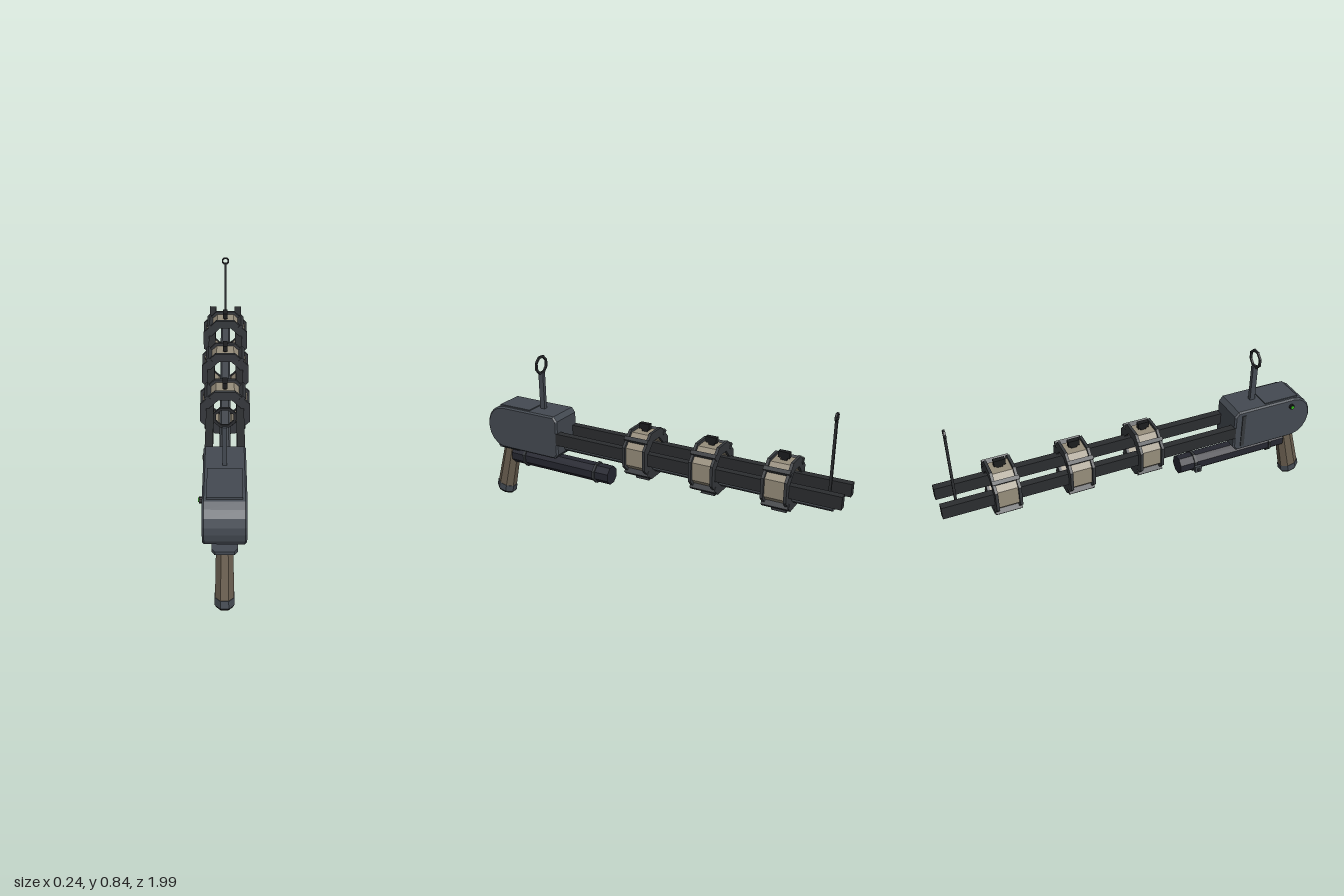
import * as THREE from 'three';

const mat = (color) => new THREE.MeshStandardMaterial({ color, flatShading: true });
const MAT = {
  steel: mat(0x444a52), rail: mat(0x2b2d30), lowRail: mat(0x464b51), dark: mat(0x36393d),
  coil: mat(0x978e7c), grip: mat(0x6a5f50), tube: mat(0x262731), black: mat(0x1b1c1e), green: mat(0x35c21a),
};
const FLAT = 1 / Math.cos(Math.PI / 8); // octagon apothem to radius

function add(parent, name, geo, material, x = 0, y = 0, z = 0) {
  const m = new THREE.Mesh(geo, material);
  m.name = name;
  m.position.set(x, y, z);
  parent.add(m);
  return m;
}

// box from its minimum and maximum corners
function block(parent, name, material, x0, x1, y0, y1, z0, z1) {
  return add(parent, name, new THREE.BoxGeometry(x1 - x0, y1 - y0, z1 - z0), material,
    (x0 + x1) / 2, (y0 + y1) / 2, (z0 + z1) / 2);
}

const poly = (pts) => new THREE.Shape(pts.map(([a, b]) => new THREE.Vector2(a, b)));

function octagon(apothem) {
  return Array.from({ length: 8 }, (_, i) => {
    const a = (i + 0.5) * Math.PI / 4;
    return new THREE.Vector2(Math.cos(a) * apothem * FLAT, Math.sin(a) * apothem * FLAT);
  });
}

// octagonal ring lying in the xy plane, centred in z
function octRing(outer, inner, depth) {
  const s = new THREE.Shape(octagon(outer));
  s.holes.push(new THREE.Path(octagon(inner)));
  return new THREE.ExtrudeGeometry(s, { depth, bevelEnabled: false }).translate(0, 0, -depth / 2);
}

// solid octagonal bar along y, flats facing the axes
const octBar = (top, bottom, h) =>
  new THREE.CylinderGeometry(top * FLAT, bottom * FLAT, h, 8).rotateY(Math.PI / 8);

// outline in (z, y), extruded across x with a small chamfer
function sideProfile(pts, halfWidth, bevel) {
  return new THREE.ExtrudeGeometry(poly(pts), {
    depth: 2 * (halfWidth - bevel), bevelEnabled: true, bevelSegments: 1,
    bevelSize: bevel, bevelOffset: -bevel, bevelThickness: bevel,
  }).translate(0, 0, -(halfWidth - bevel)).rotateY(-Math.PI / 2);
}

function makeBody() {
  const g = new THREE.Group();
  g.name = 'body';
  add(g, 'housing', sideProfile([
    [0.51, 0.345], [0.53, 0.32], [0.87, 0.32], [0.905, 0.332], [0.935, 0.358], [0.953, 0.39], [0.96, 0.43],
    [0.957, 0.465], [0.943, 0.502], [0.92, 0.53], [0.89, 0.548], [0.85, 0.555], [0.53, 0.555], [0.51, 0.53],
  ], 0.092, 0.008), MAT.steel);
  block(g, 'topPlate', MAT.steel, -0.074, 0.074, 0.55, 0.56, 0.69, 0.88);
  block(g, 'sidePanel', MAT.dark, -0.096, -0.09, 0.345, 0.53, 0.55, 0.57);
  // indicator lamp on the right side
  const socket = new THREE.CylinderGeometry(0.014, 0.014, 0.014, 8).rotateZ(Math.PI / 2);
  add(g, 'lampSocket', socket, MAT.black, -0.097, 0.513, 0.84);
  const lamp = new THREE.CylinderGeometry(0.009, 0.009, 0.006, 8).rotateZ(Math.PI / 2);
  add(g, 'lamp', lamp, MAT.green, -0.106, 0.513, 0.84);
  return g;
}

function makeCoil(z) {
  const g = new THREE.Group();
  g.name = 'coil';
  g.position.set(0, 0.436, z);
  add(g, 'coilBand', octRing(0.108, 0.08, 0.105), MAT.coil);
  for (const s of [-1, 1]) {
    add(g, 'coilFlange', octRing(0.122, 0.076, 0.014), MAT.dark, 0, 0, s * 0.056);
  }
  // straps along the four diagonals
  for (let i = 0; i < 4; i++) {
    const a = Math.PI / 4 + i * Math.PI / 2;
    const strap = add(g, 'coilStrap', new THREE.BoxGeometry(0.03, 0.02, 0.13), MAT.dark,
      Math.cos(a) * 0.119, Math.sin(a) * 0.119, 0);
    strap.rotation.z = a;
  }
  block(g, 'topLug', MAT.black, -0.012, 0.012, 0.12, 0.15, -0.028, 0.028);
  block(g, 'lugStem', MAT.black, -0.007, 0.007, 0.1, 0.122, -0.015, 0.015);
  block(g, 'bottomLug', MAT.dark, -0.03, 0.03, -0.144, -0.105, -0.037, 0.037);
  return g;
}

function makeGrip() {
  const g = new THREE.Group();
  g.name = 'grip';
  const tilted = new THREE.Group();
  tilted.name = 'gripHandle';
  tilted.position.set(0, 0.014, 0.944);
  tilted.rotation.x = -Math.atan2(0.07, 0.28);
  g.add(tilted);
  const handle = octBar(0.036, 0.041, 0.25).scale(1, 1, 1.23);
  add(tilted, 'handle', handle, MAT.grip, 0, 0.17, 0);
  const pommel = octBar(0.0425, 0.043, 0.035).scale(1, 1, 1.26);
  add(tilted, 'pommel', pommel, MAT.steel, 0, 0.0325, 0);
  const pommelBase = octBar(0.043, 0.036, 0.015).scale(1, 1, 1.26);
  add(tilted, 'pommelBase', pommelBase, MAT.black, 0, 0.0075, 0);
  // collar joining the grip to the body
  const collar = poly([[-0.055, 0.8], [-0.04, 0.78], [0.04, 0.78], [0.055, 0.8],
    [0.055, 0.92], [0.04, 0.94], [-0.04, 0.94], [-0.055, 0.92]]);
  const collarGeo = new THREE.ExtrudeGeometry(collar, { depth: 0.018, bevelEnabled: false }).rotateX(Math.PI / 2);
  add(g, 'collar', collarGeo, MAT.steel, 0, 0.32, 0);
  block(g, 'collarNeck', MAT.steel, -0.044, 0.044, 0.294, 0.304, 0.8, 0.93);
  return g;
}

function makeUnderTube() {
  const g = new THREE.Group();
  g.name = 'underTube';
  g.position.y = 0.256;
  add(g, 'tube', octBar(0.046, 0.046, 0.615).rotateX(Math.PI / 2), MAT.tube, 0, 0, 0.5425);
  for (const z of [0.32, 0.765]) {
    add(g, 'tubeBand', octRing(0.053, 0.04, 0.014), MAT.dark, 0, 0, z);
  }
  // adjusting knob on the right side
  block(g, 'knobStem', MAT.dark, -0.07, -0.04, -0.005, 0.005, 0.315, 0.325);
  block(g, 'knob', MAT.lowRail, -0.08, -0.064, -0.02, 0.015, 0.302, 0.338);
  block(g, 'knobCap', MAT.dark, -0.086, -0.08, -0.009, 0.005, 0.313, 0.327);
  return g;
}

function makeSight(name, z, postBottom, postTop, halfWidth, halfDepth, ringOuter, ringInner, postMat) {
  const g = new THREE.Group();
  g.name = name;
  block(g, 'sightPost', postMat, -halfWidth, halfWidth, postBottom, postTop, z - halfDepth, z + halfDepth);
  add(g, 'sightRing', octRing(ringOuter, ringInner, 0.01), MAT.rail, 0, 0.793, z);
  return g;
}

export function createModel() {
  const model = new THREE.Group();
  model.name = 'coilLauncher';
  model.add(makeBody(), makeGrip(), makeUnderTube());

  // twin side rails and the chamfered lower rail
  for (const s of [-1, 1]) {
    add(model, 'sideRail', new THREE.BoxGeometry(0.037, 0.064, 1.53), MAT.rail, s * 0.0735, 0.433, -0.235);
  }
  const low = poly([[-0.027, 0.359], [-0.018, 0.348], [0.018, 0.348], [0.027, 0.359],
    [0.027, 0.374], [0.018, 0.385], [-0.018, 0.385], [-0.027, 0.374]]);
  add(model, 'lowerRail', new THREE.ExtrudeGeometry(low, { depth: 1.47, bevelEnabled: false }),
    MAT.lowRail, 0, 0, -0.945);

  for (const z of [0.035, -0.328, -0.693]) model.add(makeCoil(z));

  model.add(makeSight('rearSight', 0.652, 0.55, 0.75, 0.01, 0.014, 0.047, 0.036, MAT.steel));
  model.add(makeSight('frontSight', -0.917, 0.38, 0.776, 0.006, 0.006, 0.02, 0.013, MAT.rail));
  return model;
}
